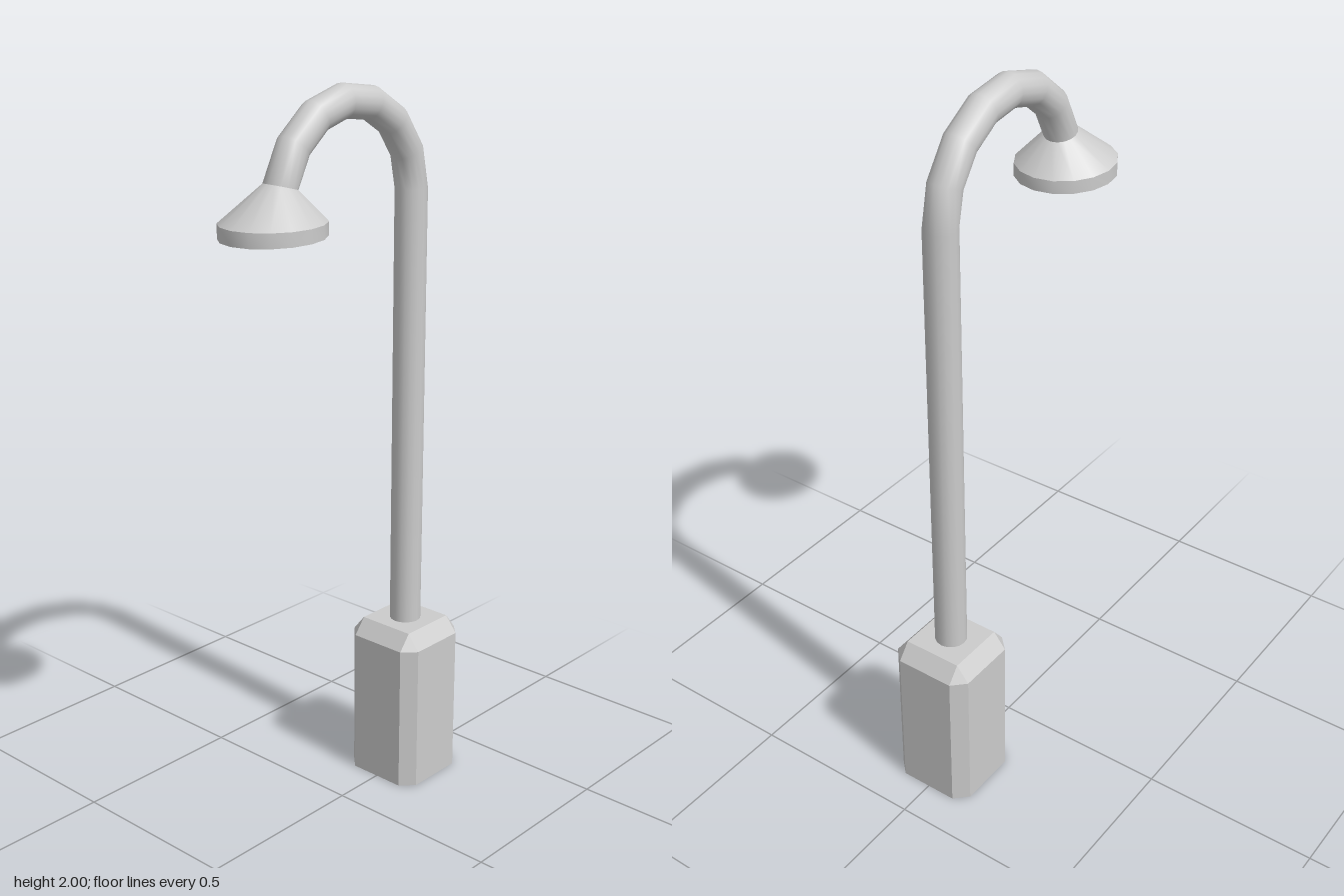
import * as THREE from 'three';
import { toCreasedNormals } from 'three/addons/utils/BufferGeometryUtils.js';
import { ConvexGeometry } from 'three/addons/geometries/ConvexGeometry.js';

const SIDES = 16;
const POLE_X = 0.27, TUBE_R = 0.044;
const ARC_X = 0.02, ARC_Y = 1.707, ARC_R = 0.25;
const ARC_ANGLE = THREE.MathUtils.degToRad(164.6);

// Square post with chamfered vertical and top edges
function chamferedPost(half, inner, shoulderY, topY) {
  const points = [];
  for (const sx of [-1, 1]) for (const sz of [-1, 1]) {
    for (const y of [0, shoulderY]) {
      points.push(new THREE.Vector3(sx * half, y, sz * inner));
      points.push(new THREE.Vector3(sx * inner, y, sz * half));
    }
    points.push(new THREE.Vector3(sx * inner, topY, sz * inner));
  }
  return new ConvexGeometry(points);
}

// Skin over elliptical rings listed from top to bottom;
// rx and rz are the half widths, tilt is the ring's rise per unit towards +x
function loft(rings) {
  const positions = [], index = [];
  for (const { x, y, rx, rz, tilt } of rings) {
    const len = Math.hypot(1, tilt);
    for (let j = 0; j < SIDES; j++) {
      const a = (j / SIDES) * Math.PI * 2;
      const d = rx * Math.cos(a) / len;
      positions.push(x + d, y + d * tilt, rz * Math.sin(a));
    }
  }
  for (let i = 0; i < rings.length - 1; i++) {
    for (let j = 0; j < SIDES; j++) {
      const k = (j + 1) % SIDES;
      const a = i * SIDES + j, b = i * SIDES + k;
      const c = a + SIDES, d = b + SIDES;
      index.push(a, b, c);
      if (rings[i + 1].rx > 0) index.push(b, d, c);
    }
  }
  const geometry = new THREE.BufferGeometry();
  geometry.setAttribute('position', new THREE.Float32BufferAttribute(positions, 3));
  geometry.setIndex(index);
  return toCreasedNormals(geometry, 0.52);
}

export function createModel() {
  const model = new THREE.Group();
  model.name = 'streetLamp';
  const grey = new THREE.MeshStandardMaterial({ color: 0xcccccc });
  const add = (name, geometry, x = 0, y = 0) => {
    const mesh = new THREE.Mesh(geometry, grey);
    mesh.name = name;
    mesh.position.set(x, y, 0);
    model.add(mesh);
  };

  add('base', chamferedPost(0.12, 0.084, 0.427, 0.472), POLE_X);

  // Straight pole, then the arm bending over towards -x
  const poleHeight = ARC_Y - 0.47;
  add('pole', new THREE.CylinderGeometry(TUBE_R, TUBE_R, poleHeight, SIDES, 1, true),
    POLE_X, 0.47 + poleHeight / 2);
  add('arm', new THREE.TorusGeometry(ARC_R, TUBE_R, SIDES, 7, ARC_ANGLE), ARC_X, ARC_Y);

  // Lamp head: flared shade, rim, then the recessed lens underneath
  const neck = {
    x: ARC_X + ARC_R * Math.cos(ARC_ANGLE),
    y: ARC_Y + ARC_R * Math.sin(ARC_ANGLE),
    rx: TUBE_R, rz: TUBE_R, tilt: Math.tan(ARC_ANGLE),
  };
  const disc = (y, scale, tilt = 0) =>
    ({ x: -0.248, y, rx: 0.1425 * scale, rz: 0.128 * scale, tilt });
  add('lampHead', loft([
    neck,
    disc(1.692, 1),
    disc(1.656, 1, 0.015),
    disc(1.656, 0.86, 0.015),
    disc(1.677, 0.86, 0.015),
    disc(1.677, 0, 0.015),
  ]));

  return model;
}
